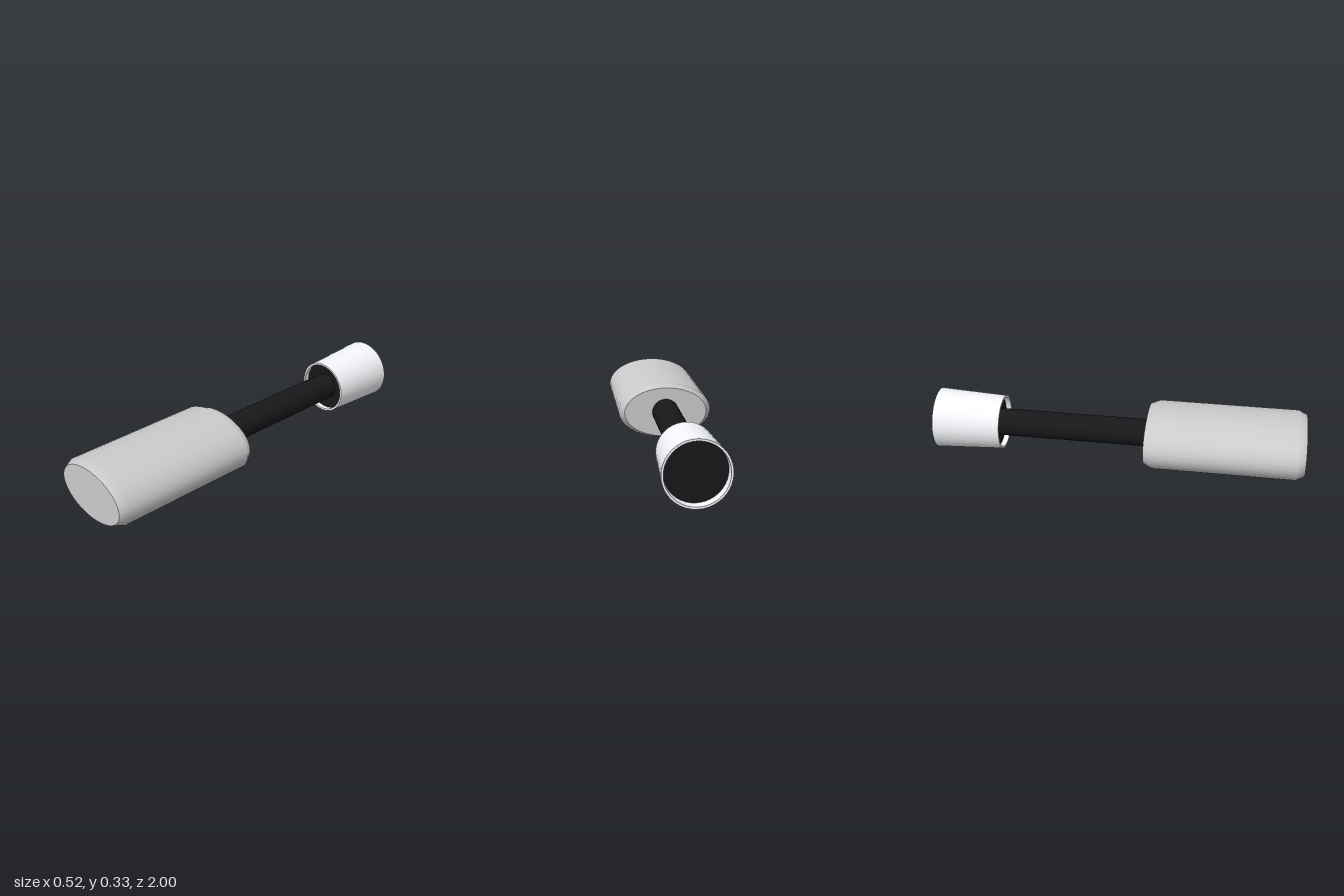
import * as THREE from 'three';

const AXIS_Y = 0.165;
const SEGMENTS = 40;

// Revolve [radius, z] points around the z axis; a repeated point makes a sharp edge.
function revolve(name, points, color, side = THREE.FrontSide) {
  const profile = points.map(([r, z]) => new THREE.Vector2(r, z));
  const geometry = new THREE.LatheGeometry(profile, SEGMENTS).rotateX(Math.PI / 2);
  const material = new THREE.MeshStandardMaterial({ color, side });
  const mesh = new THREE.Mesh(geometry, material);
  mesh.name = name;
  mesh.position.y = AXIS_Y;
  return mesh;
}

export function createModel() {
  const group = new THREE.Group();
  group.name = 'model';

  // Oval handle with bevelled ends, revolved round and then flattened
  const handle = revolve('handle', [
    [0, 0.16], [0.23, 0.16], [0.23, 0.16],
    [0.26, 0.205], [0.26, 0.955],
    [0.23, 1], [0.23, 1], [0, 1],
  ], 0xcccccc);
  handle.scale.y = 0.6;
  group.add(handle);

  // Dark shaft between the handle and the cup
  group.add(revolve('shaft', [[0.074, -0.68], [0.074, 0.18]], 0x17181a));

  // Flared thin-walled cup, open at both ends
  group.add(revolve('cup', [
    [0.153, -1], [0.164, -1], [0.164, -1],
    [0.147, -0.635], [0.147, -0.635],
    [0.136, -0.635], [0.136, -0.635], [0.153, -1],
  ], 0xf5f7fa, THREE.DoubleSide));

  // Dark core filling the cup, slightly recessed at both ends
  group.add(revolve('cupCore', [
    [0, -0.95], [0.151, -0.95], [0.151, -0.95],
    [0.137, -0.665], [0.137, -0.665], [0, -0.665],
  ], 0x17181a));

  return group;
}
